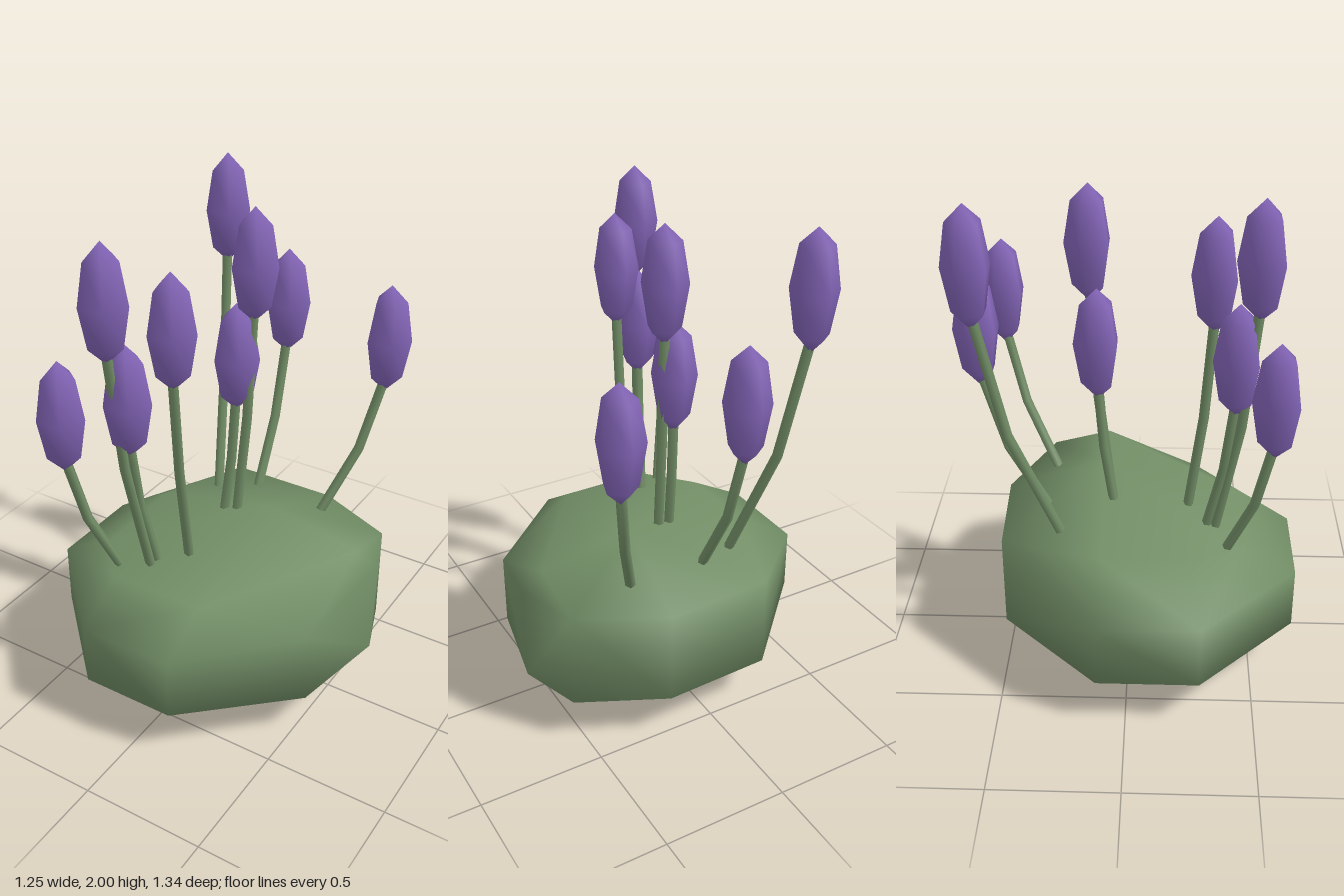
import * as THREE from 'three';
import { mergeVertices } from 'three/addons/utils/BufferGeometryUtils.js';
import { ConvexGeometry } from 'three/addons/geometries/ConvexGeometry.js';

const green = new THREE.MeshStandardMaterial({ color: 0x738f67 });
green.name = 'leafGreen';
const purple = new THREE.MeshStandardMaterial({ color: 0x8465b8 });
purple.name = 'budPurple';

// Rounded mound: a chamfered hull with smooth normals
function moundGeometry() {
  // side corners: x, z, lower y, upper y
  const sides = [
    [-0.24, 0.67, 0.19, 0.445], [0.15, 0.67, 0.19, 0.445],
    [-0.63, 0.285, 0.19, 0.445], [-0.63, -0.115, 0.19, 0.445],
    [-0.24, -0.505, 0.18, 0.57], [0.2, -0.522, 0.18, 0.56],
    [0.54, -0.355, 0.18, 0.58], [0.625, -0.115, 0.185, 0.585],
    [0.54, 0.285, 0.17, 0.47],
  ];
  const points = sides.flatMap(([x, z, low, high]) =>
    [new THREE.Vector3(x, low, z), new THREE.Vector3(x, high, z)]);
  const caps = [
    // top
    [-0.24, 0.575, 0.46], [0.15, 0.575, 0.47], [-0.385, 0.585, 0.27], [-0.385, 0.597, -0.11],
    [0.15, 0.715, -0.11], [0.54, 0.645, -0.11],
    // bottom
    [-0.24, 0.008, 0.285], [0.15, 0.008, 0.285], [-0.24, 0.008, -0.11], [0.15, 0, -0.11],
    [0.54, 0.12, -0.11],
  ];
  caps.forEach((p) => points.push(new THREE.Vector3(...p)));
  const hull = new ConvexGeometry(points);
  hull.deleteAttribute('normal');
  const smooth = mergeVertices(hull, 1e-4);
  smooth.computeVertexNormals();
  return smooth;
}

// Stem that leans outward from its root and then straightens
function stemGeometry(root, tip) {
  const bend = root.clone().lerp(tip, 0.5);
  bend.x = THREE.MathUtils.lerp(root.x, tip.x, 0.82);
  bend.z = THREE.MathUtils.lerp(root.z, tip.z, 0.82);
  return new THREE.TubeGeometry(new THREE.QuadraticBezierCurve3(root, bend, tip), 2, 0.021, 5);
}

export function createModel() {
  const model = new THREE.Group();
  const add = (name, geometry, material, parent) => {
    const mesh = new THREE.Mesh(geometry, material);
    mesh.name = name;
    parent.add(mesh);
    return mesh;
  };

  add('mound', moundGeometry(), green, model);

  // Five-sided bud
  const bud = new THREE.SphereGeometry(1, 5, 4);
  bud.rotateY(-Math.PI / 2);
  bud.scale(0.094, 0.23, 0.094);

  // bud x, top y, bud z, root x, root y, root z
  const flowers = [
    [-0.34, 2.0, -0.55, -0.21, 0.6, -0.27],
    [-0.06, 1.64, -0.578, -0.048, 0.6, -0.32],
    [0.42, 1.6, -0.54, 0.262, 0.61, -0.315],
    [-0.035, 1.575, -0.125, -0.055, 0.62, -0.06],
    [0.025, 1.96, -0.155, 0.0, 0.62, -0.07],
    [-0.03, 1.86, 0.32, -0.03, 0.6, 0.235],
    [-0.175, 1.58, 0.405, -0.135, 0.57, 0.305],
    [-0.205, 1.985, 0.475, -0.14, 0.56, 0.34],
    [-0.38, 1.52, 0.54, -0.255, 0.55, 0.38],
  ];
  for (const [x, top, z, rx, ry, rz] of flowers) {
    const flower = new THREE.Group();
    flower.name = 'flower';
    const root = new THREE.Vector3(rx, ry, rz);
    add('stem', stemGeometry(root, new THREE.Vector3(x, top - 0.4, z)), green, flower);
    add('bud', bud, purple, flower).position.set(x, top - 0.23, z);
    model.add(flower);
  }
  return model;
}
